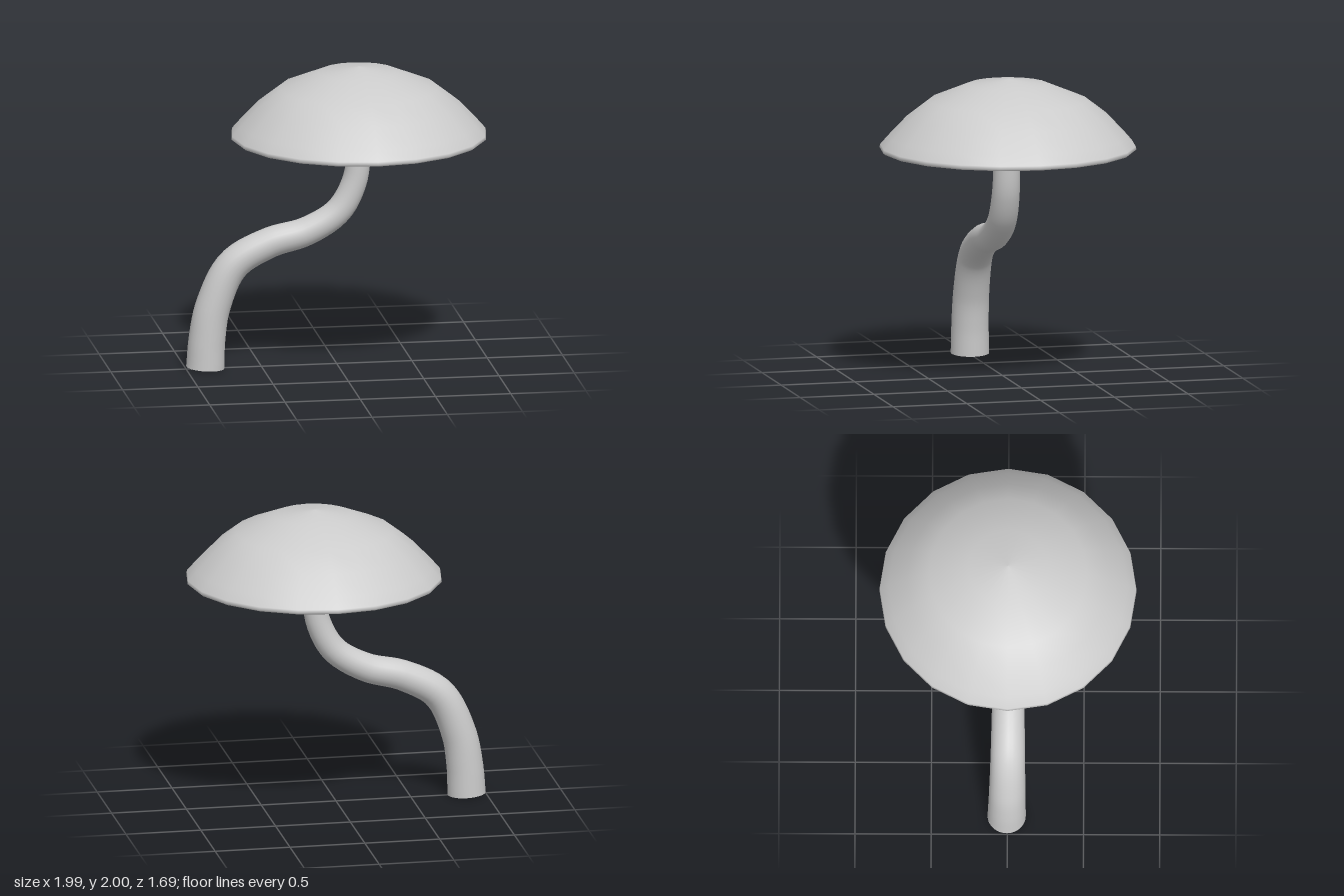
import * as THREE from 'three';
import { mergeGeometries } from 'three/addons/utils/BufferGeometryUtils.js';

const CAP_X = 0.147;
const grey = () => new THREE.MeshStandardMaterial({ color: 0xcccccc, roughness: 0.8, side: THREE.DoubleSide });
const points = (list) => list.map(([x, y]) => new THREE.Vector2(x, y));

// Hollow dome: inner surface down to the rim, then up the outer surface
function createCap() {
  const profile = points([
    [0, 1.95], [0.26, 1.91], [0.5, 1.81], [0.65, 1.69], [0.755, 1.57], [0.785, 1.527],
    [0.83, 1.523], [0.845, 1.535], [0.84, 1.555], [0.785, 1.618], [0.665, 1.745],
    [0.52, 1.857], [0.262, 1.963], [0, 2],
  ]);
  const cap = new THREE.Mesh(new THREE.LatheGeometry(profile, 20), grey());
  cap.name = 'cap';
  cap.position.x = CAP_X;
  return cap;
}

// Thin radial blades filling the hollow of the cap
function createGills(count = 80) {
  const blade = new THREE.ShapeGeometry(new THREE.Shape(points([
    [0.04, 1.52], [0.5, 1.505], [0.62, 1.508], [0.785, 1.53],
    [0.755, 1.565], [0.65, 1.685], [0.5, 1.805], [0.26, 1.905], [0.04, 1.94],
  ])));
  const blades = [];
  for (let i = 0; i < count; i++) {
    blades.push(blade.clone().rotateY(((i + 0.5) / count) * Math.PI * 2));
  }
  const gills = new THREE.Mesh(mergeGeometries(blades), grey());
  gills.name = 'gills';
  gills.position.x = CAP_X;
  return gills;
}

// Curved stem, tapering from the foot to the cap
function createStem() {
  const stem = new THREE.Group();
  stem.name = 'stem';
  const path = new THREE.CatmullRomCurve3([
    [-0.872, 0.005], [-0.86, 0.2], [-0.82, 0.42], [-0.69, 0.69], [-0.45, 0.83],
    [-0.2, 0.9], [0.01, 1.03], [0.115, 1.22], [0.147, 1.42], [0.15, 1.6],
  ].map(([x, y]) => new THREE.Vector3(x, y, -0.005 + 0.01 * y)), false, 'centripetal');
  const steps = 48, sides = 24;
  const geometry = new THREE.TubeGeometry(path, steps, 1, sides);
  const position = geometry.attributes.position;
  const v = new THREE.Vector3();
  for (let i = 0; i <= steps; i++) {
    const t = i / steps;
    const centre = path.getPointAt(t);
    const radius = THREE.MathUtils.lerp(0.126, 0.073, t);
    for (let j = 0; j <= sides; j++) {
      const k = i * (sides + 1) + j;
      v.fromBufferAttribute(position, k).sub(centre).multiplyScalar(radius);
      v.z *= 1 + 0.14 * t;
      v.add(centre);
      position.setXYZ(k, v.x, v.y, v.z);
    }
  }
  const stalk = new THREE.Mesh(geometry, grey());
  stalk.name = 'stalk';

  // Flat underside of the foot
  const foot = new THREE.Mesh(new THREE.CircleGeometry(0.126, sides), grey());
  foot.name = 'footBase';
  foot.position.copy(path.getPointAt(0));
  foot.lookAt(foot.position.clone().sub(path.getTangentAt(0)));
  stem.add(stalk, foot);
  return stem;
}

export function createModel() {
  const model = new THREE.Group();
  model.name = 'mushroom';
  model.add(createCap(), createGills(), createStem());
  return model;
}
